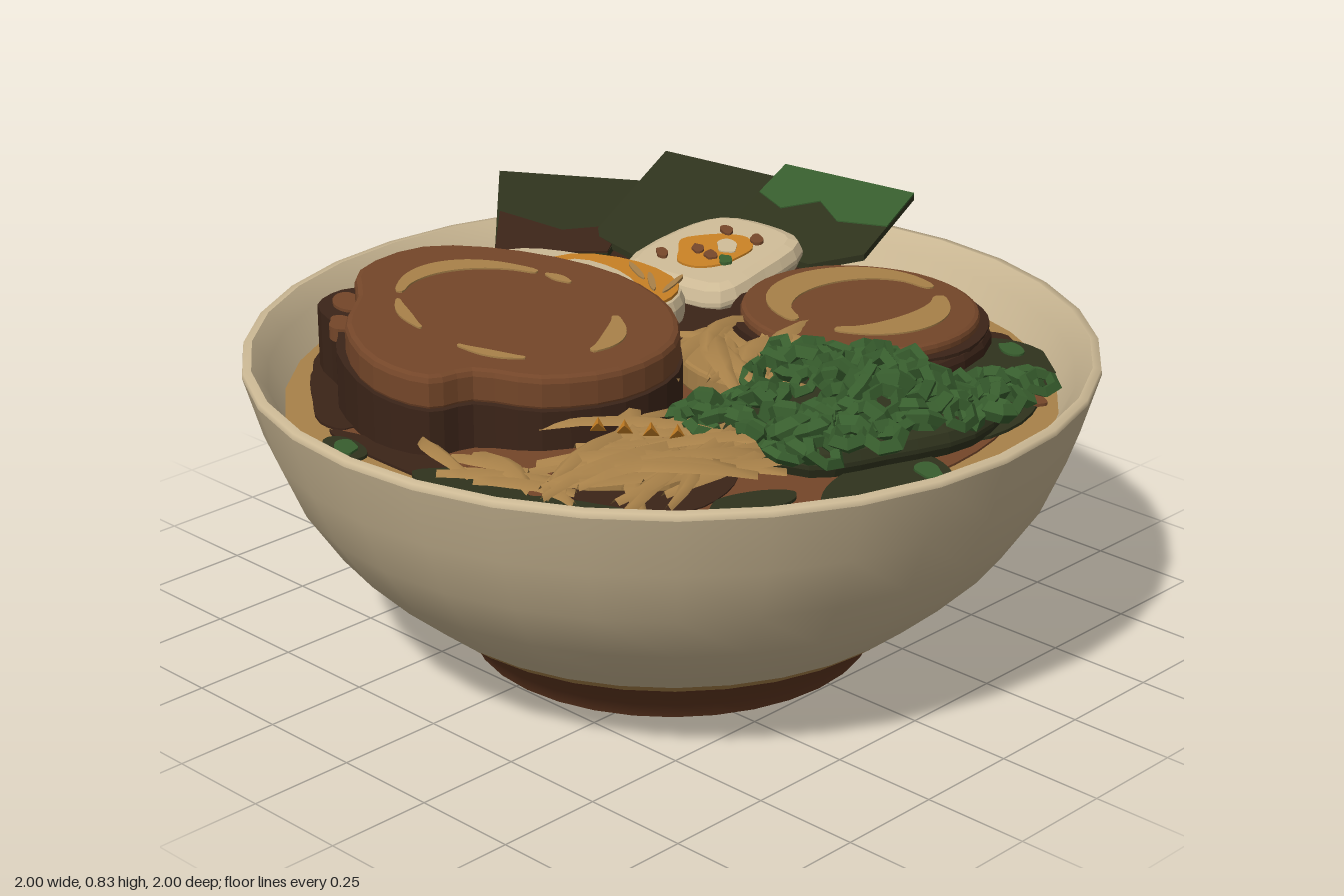
import * as THREE from 'three';

const mat = (name, color, side = THREE.FrontSide) => {
  const m = new THREE.MeshStandardMaterial({ color, side });
  m.name = name;
  return m;
};

export function createModel() {
  const model = new THREE.Group();
  model.name = 'noodleBowl';
  const cream = mat('cream', 0xcbb894), brown = mat('meatBrown', 0x744629);
  const dark = mat('darkBrown', 0x3b2418), clay = mat('clayBrown', 0x623821);
  const tan = mat('noodleTan', 0xa88149, THREE.DoubleSide), orange = mat('yolkOrange', 0xc67f24);
  const green = mat('scallionGreen', 0x385e2e);
  const deepGreen = mat('deepGreen', 0x2f331d);
  const C = 0.03; // bowl centre in x and z

  let seed = 7;
  const rnd = (a = 0, b = 1) => {
    seed = (seed * 16807) % 2147483647;
    return a + (b - a) * seed / 2147483647;
  };
  const add = (name, geo, material, parent = model) => {
    const mesh = new THREE.Mesh(geo, material);
    mesh.name = name;
    parent.add(mesh);
    return mesh;
  };

  // Surface of revolution around the bowl axis
  const ring = (name, pts, material) => {
    const g = new THREE.LatheGeometry(pts.map(p => new THREE.Vector2(...p)), 32);
    add(name, g.translate(C, 0, C), material);
  };
  // Slab seen from above: outline in [x, z], between two heights, with a sloping lie
  const slab = (name, pts, y0, y1, material, { slope = [0, 0, 0, 0], bevel = 0, smooth = true } = {}) => {
    const v = pts.map(([x, z]) => new THREE.Vector2(x, -z));
    let shape = new THREE.Shape(v);
    if (smooth) {
      const curve = new THREE.CatmullRomCurve3(v.map(p => new THREE.Vector3(p.x, p.y, 0)), true);
      shape = new THREE.Shape(curve.getPoints(pts.length * 3).slice(0, -1).map(p => new THREE.Vector2(p.x, p.y)));
    }
    const g = new THREE.ExtrudeGeometry(shape, {
      depth: y1 - y0 - 2 * bevel, bevelEnabled: bevel > 0, bevelSize: bevel,
      bevelThickness: bevel, bevelOffset: -bevel, bevelSegments: 2,
    });
    g.rotateX(-Math.PI / 2).translate(0, y0 + bevel, 0);
    const p = g.attributes.position, [sx, sz, cx, cz] = slope;
    for (let i = 0; i < p.count; i++)
      p.setY(i, p.getY(i) + sx * (p.getX(i) - cx) + sz * (p.getZ(i) - cz));
    g.computeVertexNormals();
    return add(name, g, material);
  };
  const oval = (cx, cz, rx, rz, turn = 0, wobble = 0, n = 10) => Array.from({ length: n }, (_, i) => {
    const a = i / n * Math.PI * 2, k = 1 + rnd(-wobble, wobble);
    const x = Math.cos(a) * rx * k, z = Math.sin(a) * rz * k;
    return [cx + x * Math.cos(turn) - z * Math.sin(turn), cz + x * Math.sin(turn) + z * Math.cos(turn)];
  });
  // Tapered arc outline, angles in degrees from +x towards +z
  const crescent = (cx, cz, rx, rz, a0, a1, w) => {
    const n = 8, out = [], back = [];
    for (let i = 0; i <= n; i++) {
      const a = (a0 + (a1 - a0) * i / n) * Math.PI / 180;
      const h = w / 2 * (0.25 + Math.sin(Math.PI * i / n) * 0.75);
      out.push([cx + Math.cos(a) * (rx + h), cz + Math.sin(a) * (rz + h)]);
      back.unshift([cx + Math.cos(a) * (rx - h), cz + Math.sin(a) * (rz - h)]);
    }
    return [...out, ...back];
  };

  // Bowl: base, foot, glaze line, wall, rim and inside
  ring('bowlBase', [[0, 0.012], [0.4, 0.012], [0.42, 0.002], [0.465, 0]], dark);
  ring('bowlFoot', [[0.465, 0], [0.485, 0.04], [0.575, 0.12]], clay);
  ring('glazeLine', [[0.575, 0.12], [0.61, 0.147]], tan);
  ring('bowlWall', [[0.61, 0.147], [0.7, 0.22], [0.79, 0.31], [0.87, 0.43], [0.925, 0.56], [0.966, 0.7]], cream);
  ring('bowlRim', [[0.966, 0.7], [0.964, 0.713], [0.945, 0.715]], cream);
  ring('bowlInside', [[0.945, 0.715], [0.91, 0.67], [0.87, 0.59], [0.82, 0.52]], cream);
  [[-0.22, -0.1, 0.15, 0.23], [0.24, 0.12, 0.13, 0.22], [0.05, -0.28, 0.2, 0.09], [-0.04, 0.3, 0.18, 0.08]].forEach(([x, z, a, b]) =>
    slab('baseGlaze', oval(C + x, C + z, a, b, 0.4, 0.15), 0.006, 0.014, tan));
  slab('baseGlazeSpot', oval(C, C, 0.1, 0.07, 0.6, 0.15), 0.006, 0.014, orange);

  // Broth with darker pools, herbs and oil
  ring('broth', [[0.885, 0.6], [0, 0.6]], tan);
  slab('brothPool', oval(C - 0.02, C - 0.02, 0.78, 0.79, 0, 0.05, 20), 0.599, 0.605, brown);
  [[-0.64, 0.28, 0.13, 0.32, -0.4], [-0.48, 0.55, 0.24, 0.09, 0.75], [0.43, -0.5, 0.09, 0.24, -0.3],
    [0.35, 0.45, 0.2, 0.2, 0.3], [0.0, 0.73, 0.3, 0.05, -0.05]].forEach(([x, z, a, b, t]) =>
    slab('darkPool', oval(x, z, a, b, t, 0.08), 0.602, 0.608, dark));
  slab('darkEdge', crescent(C, C, 0.8, 0.8, 135, 290, 0.13), 0.603, 0.608, dark);
  slab('darkBed', [[-0.75, -0.2], [-0.66, -0.42], [-0.5, -0.6], [-0.15, -0.72], [0.2, -0.76], [0.4, -0.66], [0.46, -0.4], [0.34, -0.2],
    [0.1, -0.05], [-0.4, 0.1], [-0.65, 0.1]], 0.59, 0.655, dark, { bevel: 0.02 });
  [[0.15, 0.75, 0.14, 0.08, -0.2], [0.38, 0.69, 0.14, 0.06, -0.4], [-0.2, 0.8, 0.07, 0.035, 0.2],
    [0.55, -0.45, 0.15, 0.3, -0.45], [0.76, 0.14, 0.11, 0.17, 0], [0.62, 0.4, 0.05, 0.1, 0.4]].forEach(([x, z, a, b, t]) =>
    slab('herbPatch', oval(x, z, a, b, t, 0.15), 0.607, 0.614, deepGreen));
  [[-0.2, 0.8, 0.04], [0.78, 0.02, 0.045], [0.46, -0.66, 0.04], [0.82, 0.18, 0.04], [0.6, -0.58, 0.04]].forEach(([x, z, r]) =>
    slab('herbFleck', oval(x, z, r, r * 0.6, 0.5, 0.15), 0.612, 0.619, green));
  [[0.69, -0.45, 0.04], [0.1, 0.65, 0.07], [0.2, 0.63, 0.04]].forEach(([x, z, r]) =>
    slab('brothFleck', oval(x, z, r, r * 0.7, 0.4, 0.15), 0.612, 0.619, brown));
  [[0.67, 0.5], [0.74, 0.4]].forEach(([x, z]) =>
    slab('oilDrop', oval(x, z, 0.02, 0.012, 0.6, 0.15), 0.603, 0.61, orange));

  // Noodles: a small bed and loose ribbons with a raised middle
  slab('noodleBed', oval(0.12, -0.1, 0.2, 0.13, 0.5, 0.08), 0.6, 0.665, tan, { bevel: 0.01 });
  slab('noodleBed', oval(0.34, 0.42, 0.11, 0.17, 0.4, 0.12), 0.6, 0.635, tan, { bevel: 0.01 });
  const noodles = new THREE.Group();
  noodles.name = 'noodles';
  model.add(noodles);
  const strand = (cx, cz, len, angle, y) => {
    const dx = Math.cos(angle), dz = Math.sin(angle), pos = [], index = [], n = 5, w = rnd(0.018, 0.028);
    const bend = rnd(-0.06, 0.06), rise = rnd(0, 0.03);
    for (let i = 0; i <= n; i++) {
      const t = i / n - 0.5, b = bend * (1 - 4 * t * t), h = y + rise * (1 - 4 * t * t);
      const x = cx + dx * len * t - dz * b, z = cz + dz * len * t + dx * b;
      const k = w * (1.15 - Math.abs(t) * 1.4);
      pos.push(x - dz * k, h - 0.008, z + dx * k, x, h + 0.006, z, x + dz * k, h - 0.008, z - dx * k);
      for (let j = 0; j < 2 && i < n; j++) {
        const a = i * 3 + j;
        index.push(a, a + 3, a + 1, a + 1, a + 3, a + 4);
      }
    }
    const g = new THREE.BufferGeometry();
    g.setAttribute('position', new THREE.Float32BufferAttribute(pos, 3));
    g.setIndex(index);
    g.computeVertexNormals();
    add('noodle', g, tan, noodles);
  };
  for (let i = 0; i < 34; i++)
    strand(rnd(0.24, 0.5), rnd(0.28, 0.58), rnd(0.28, 0.46), rnd(-2.5, -0.4), rnd(0.64, 0.67));
  for (let i = 0; i < 8; i++) strand(rnd(0.02, 0.3), rnd(0.66, 0.72), rnd(0.15, 0.28), rnd(-0.7, 0.3), 0.635);
  for (let i = 0; i < 14; i++)
    strand(rnd(0.02, 0.24), rnd(-0.18, -0.02), rnd(0.22, 0.36), rnd(0.1, 1.6), rnd(0.67, 0.69));
  for (let i = 0; i < 4; i++) add('noodleOil', new THREE.TetrahedronGeometry(0.022), orange, noodles)
    .position.set(0.22 + i * 0.05, 0.685, 0.45 - i * 0.03);

  // Large pork slice: dark side, browned top, fat streaks
  const bigSlope = [-0.09, 0, -0.23, 0.33];
  slab('porkSide', [[-0.61, 0.2], [-0.45, 0.03], [-0.21, -0.05], [0, -0.01], [0.14, 0.12], [0.175, 0.32], [0.1, 0.5], [-0.02, 0.59],
    [-0.05, 0.69], [-0.19, 0.725], [-0.4, 0.65], [-0.49, 0.57], [-0.62, 0.52], [-0.65, 0.42], [-0.61, 0.33]], 0.58, 0.725, dark, { slope: bigSlope });
  slab('porkTop', [[-0.605, 0.21], [-0.45, 0.045], [-0.21, -0.045], [0, -0.005], [0.135, 0.125], [0.165, 0.32], [0.09, 0.49], [-0.03, 0.58],
    [-0.06, 0.68], [-0.2, 0.715], [-0.38, 0.64], [-0.48, 0.52], [-0.59, 0.42]], 0.715, 0.798, brown, { slope: bigSlope, bevel: 0.015 });
  for (const [x, z, r] of [[-0.58, 0.46, 0.05], [-0.5, 0.55, 0.04], [-0.62, 0.38, 0.03]])
    slab('porkScrap', oval(x, z, r, r * 0.7, 0.6, 0.1), 0.7, 0.732, brown, { slope: bigSlope });
  [[-110, -95, 0.03], [-215, -115, 0.055], [-50, 0, 0.05], [40, 75, 0.03], [100, 135, 0.03]].forEach(([a, b, w]) =>
    slab('porkFat', crescent(-0.21, 0.31, 0.27, 0.22, a, b, w), 0.796, 0.802, tan, { slope: bigSlope }));

  // Small pork slice
  const smallSlope = [-0.04, 0.03, 0.15, -0.48];
  slab('smallPorkSide', oval(0.155, -0.475, 0.3, 0.31, 0, 0.02, 14), 0.58, 0.67, dark, { slope: smallSlope });
  slab('smallPorkTop', oval(0.155, -0.475, 0.275, 0.29, 0, 0.02, 14), 0.66, 0.695, brown, { slope: smallSlope, bevel: 0.012 });
  [[95, 285, 0.09], [-55, 60, 0.085]].forEach(([a, b, w]) =>
    slab('smallPorkFat', crescent(0.14, -0.49, 0.17, 0.21, a, b, w), 0.693, 0.699, tan, { slope: smallSlope }));

  // Egg halves with yolks
  const eggSlope = [0, -0.16, -0.3, -0.45];
  slab('eggWhite', [[-0.47, -0.5], [-0.42, -0.61], [-0.28, -0.64], [-0.15, -0.61], [-0.12, -0.45], [-0.13, -0.3], [-0.28, -0.27], [-0.45, -0.29]],
    0.65, 0.73, cream, { slope: eggSlope, bevel: 0.035 });
  slab('eggYolk', oval(-0.29, -0.44, 0.095, 0.09, 0, 0.12), 0.728, 0.735, orange, { slope: eggSlope });
  slab('yolkShine', oval(-0.27, -0.47, 0.04, 0.025, 0.4, 0.2), 0.732, 0.738, cream, { slope: eggSlope });
  [[-0.22, -0.41, green], [-0.33, -0.53, brown], [-0.23, -0.53, brown], [-0.32, -0.42, brown], [-0.27, -0.41, brown], [-0.38, -0.36, brown]]
    .forEach(([x, z, m]) => slab('eggSpeck', oval(x, z, 0.025, 0.014, 0.5, 0.2), 0.733, 0.74, m, { slope: eggSlope }));
  const sideSlope = [0.02, -0.03, -0.45, 0];
  slab('sideEggWhite', [[-0.8, 0.17], [-0.76, -0.02], [-0.68, -0.18], [-0.52, -0.25], [-0.35, -0.27], [-0.17, -0.22], [-0.12, -0.1],
    [-0.2, 0.06], [-0.45, 0.16], [-0.64, 0.24]], 0.62, 0.715, cream, { slope: sideSlope, bevel: 0.03 });
  slab('sideEggYolk', [[-0.59, 0.14], [-0.57, 0.02], [-0.53, -0.2], [-0.36, -0.26], [-0.18, -0.21], [-0.13, -0.1], [-0.2, 0.02], [-0.4, 0.1]],
    0.712, 0.719, orange, { slope: sideSlope });
  slab('eggShine', [[-0.5, -0.04], [-0.49, -0.17], [-0.35, -0.18], [-0.21, -0.11], [-0.19, -0.05], [-0.4, 0]],
    0.717, 0.723, cream, { slope: sideSlope });
  for (const [x, z, t] of [[-0.32, -0.21, 0.5], [-0.24, -0.18, 0.7], [-0.19, -0.2, 1.2]])
    slab('eggStreak', oval(x, z, 0.06, 0.008, t), 0.716, 0.723, tan, { slope: sideSlope });

  // Seaweed sheets leaning over the rim down into the broth
  const sheet = (name, pts, y, slope, material = deepGreen, t = 0.016) =>
    slab(name, pts, y, y + t, material, { slope, smooth: false });
  const leftSlope = [-0.21, -0.13, -0.787, -0.455], backSlope = [-0.06, -0.2, -0.3, -0.86];
  sheet('seaweedLeft', [[-1, -0.4], [-0.71, -0.67], [-0.56, -0.35], [-0.74, -0.14]], 0.725, leftSlope);
  sheet('seaweedStain', [[-0.86, -0.27], [-0.7, -0.33], [-0.62, -0.46], [-0.56, -0.35], [-0.74, -0.14]], 0.74, leftSlope, dark, 0.005);
  sheet('seaweedMiddle', [[-0.77, -0.77], [-0.46, -0.88], [-0.34, -0.52], [-0.48, -0.38], [-0.64, -0.38]], 0.738, [-0.16, -0.19, -0.592, -0.687]);
  sheet('seaweedBack', [[-0.5, -0.93], [-0.13, -1], [-0.04, -0.71], [-0.12, -0.6], [-0.4, -0.56]], 0.742, backSlope);
  sheet('seaweedSheen', [[-0.5, -0.93], [-0.13, -1], [-0.08, -0.84], [-0.2, -0.79], [-0.3, -0.84], [-0.36, -0.76], [-0.46, -0.79]],
    0.756, backSlope, green, 0.005);

  // Scallion heap: low dark mound and chunky cut rings, highest along its middle
  slab('scallionMound', [[0.68, -0.36], [0.76, -0.16], [0.7, 0.06], [0.62, 0.22], [0.34, 0.24], [0.26, -0.03], [0.44, -0.2]],
    0.6, 0.67, deepGreen, { bevel: 0.03 });
  const scallions = new THREE.Group();
  scallions.name = 'scallions';
  model.add(scallions);
  const ringGeo = new THREE.TorusGeometry(0.034, 0.017, 4, 6).rotateX(Math.PI / 2).toNonIndexed();
  ringGeo.computeVertexNormals();
  const heap = [[0.7, -0.35, 0.08, 8], [0.67, -0.18, 0.13, 18], [0.4, -0.08, 0.17, 24],
    [0.63, 0.02, 0.13, 18], [0.56, 0.17, 0.12, 16], [0.34, 0.19, 0.1, 12]];
  for (const [cx, cz, r, count] of heap) for (let i = 0; i < count; i++) {
    const a = i * 2.4, d = r * Math.sqrt((i + 0.5) / count);
    const x = cx + Math.cos(a) * d, z = cz + Math.sin(a) * d;
    const lift = 0.095 * Math.exp(-(((z + 0.06) / 0.13) ** 2) - ((x - 0.54) / 0.24) ** 2);
    const m = add('scallionRing', ringGeo, green, scallions);
    m.position.set(x, 0.68 + lift + rnd(-0.015, 0.015), z);
    m.rotation.set(rnd(-0.8, 0.8), rnd(0, 6.28), rnd(-0.8, 0.8));
    m.scale.set(rnd(0.8, 1.15), rnd(0.8, 1.3), rnd(0.7, 1.1));
  }
  return model;
}
